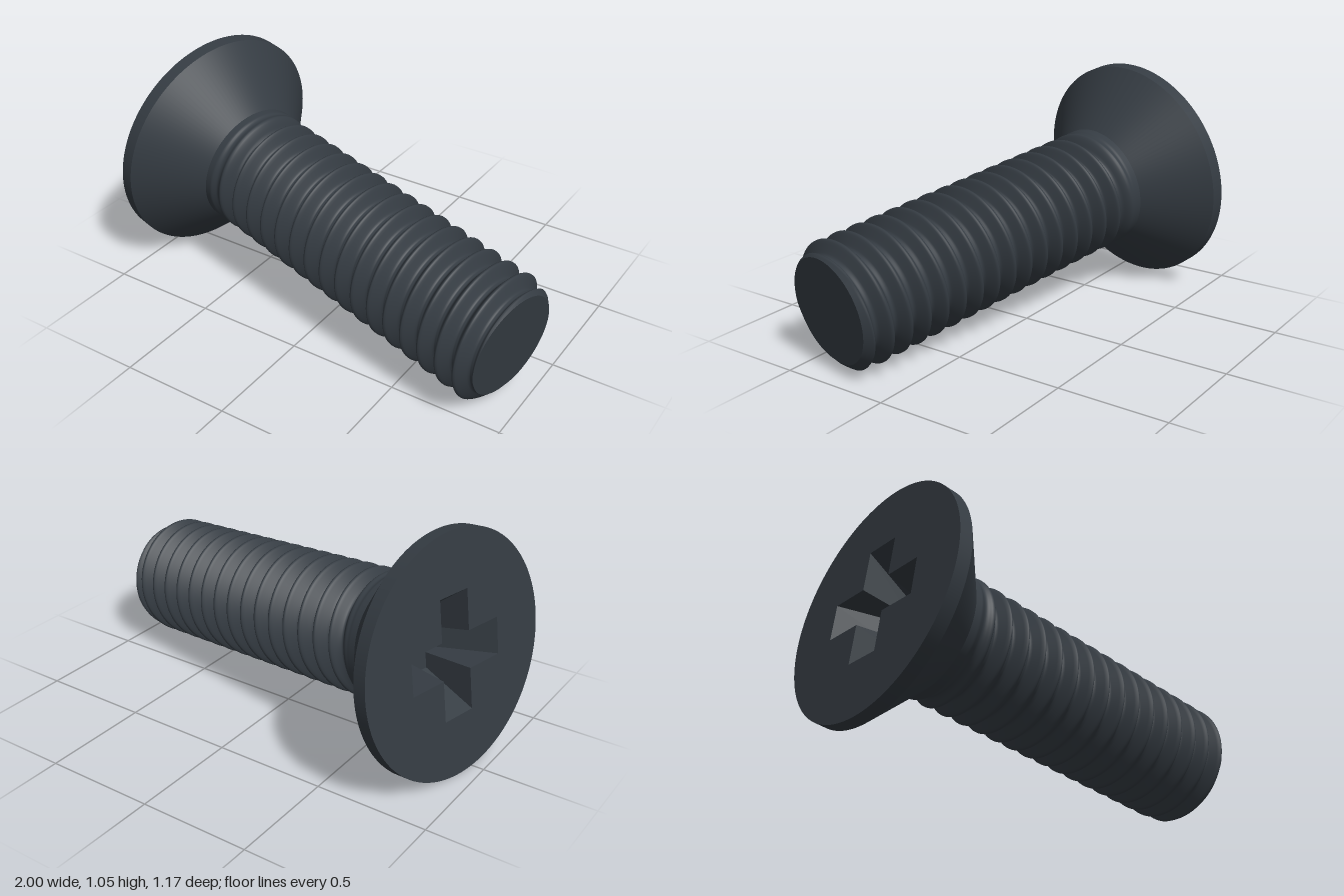
import * as THREE from 'three';

const LENGTH = 1.868, PITCH = 0.0942, CREST = 0.463; // along the screw axis
const R_HEAD = 0.528, R_THREAD = 0.283, R_TIP = 0.235, DEPTH = 0.055;
const NECK = 0.29, RIM = 0.06, SEGS = 80;

const clamp01 = (v) => Math.min(1, Math.max(0, v));

// Radius of the threaded shank at axial position t and angle a
function shankRadius(t, a) {
  let u = (t - CREST) / PITCH - a / (2 * Math.PI);
  u = Math.abs(u - Math.round(u)); // 0 at the crest, 0.5 at the root
  const cut = clamp01((u - 0.06) / 0.34) * DEPTH * clamp01((t - 0.33) / 0.09);
  return Math.min(R_THREAD - cut, R_TIP + (LENGTH - t) * 1.0);
}

function makeGeometry(positions, index) {
  const g = new THREE.BufferGeometry();
  g.setAttribute('position', new THREE.Float32BufferAttribute(positions, 3));
  g.setIndex(index);
  return g;
}

// Shank surface whose rows follow the helix; the seam joins row i to row i + N
function threadGeometry() {
  const N = 16, first = -N - 1;
  const rows = Math.ceil((LENGTH - NECK) / PITCH * N) + N + 3;
  const pos = [], index = [];
  for (let i = 0; i <= rows + N; i++) {
    for (let j = 0; j < SEGS; j++) {
      const a = (j / SEGS) * 2 * Math.PI;
      const raw = NECK + ((i + first) / N + j / SEGS) * PITCH;
      const t = Math.min(LENGTH, Math.max(NECK, raw));
      const r = shankRadius(t, a);
      pos.push(t, r * Math.cos(a), r * Math.sin(a));
    }
  }
  const id = (i, j) => (j === SEGS ? (i + N) * SEGS : i * SEGS + j);
  for (let i = 0; i < rows; i++) {
    for (let j = 0; j < SEGS; j++) {
      const a = id(i, j), b = id(i, j + 1), c = id(i + 1, j), d = id(i + 1, j + 1);
      index.push(a, b, c, b, d, c);
    }
  }
  const g = makeGeometry(pos, index);
  g.computeVertexNormals();
  return g;
}

// Flat end that follows the outline of the thread run-out
function tipGeometry() {
  const pos = [LENGTH, 0, 0], index = [];
  for (let j = 0; j < SEGS; j++) {
    const a = (j / SEGS) * 2 * Math.PI, r = shankRadius(LENGTH, a);
    pos.push(LENGTH, r * Math.cos(a), r * Math.sin(a));
    index.push(0, 1 + j, 1 + ((j + 1) % SEGS));
  }
  const g = makeGeometry(pos, index);
  g.computeVertexNormals();
  return g;
}

// Twelve-cornered cross outline, as [y, z] pairs turning from y to z
function crossOutline(arm, half) {
  const pts = [];
  for (let k = 0; k < 4; k++) {
    const c = Math.round(Math.cos(k * Math.PI / 2)), s = Math.round(Math.sin(k * Math.PI / 2));
    for (const [y, z] of [[arm, -half], [arm, half], [half, half]]) {
      pts.push([y * c - z * s, y * s + z * c]);
    }
  }
  return pts;
}

// Tapered cross socket: inward facing walls and a floor
function recessGeometry(top, bottom, depth) {
  const pos = [], index = [], n = top.length;
  top.forEach(([y, z]) => pos.push(0, y, z));
  bottom.forEach(([y, z]) => pos.push(depth, y, z));
  pos.push(depth, 0, 0);
  for (let j = 0; j < n; j++) {
    const k = (j + 1) % n;
    index.push(j, n + j, k, k, n + j, n + k);
    index.push(2 * n, n + k, n + j);
  }
  const g = makeGeometry(pos, index).toNonIndexed();
  g.computeVertexNormals();
  return g;
}

// Open cone section along the axis
function coneGeometry(r0, r1, t0, t1) {
  const g = new THREE.CylinderGeometry(r1, r0, t1 - t0, 128, 1, true);
  g.rotateZ(-Math.PI / 2);
  g.translate((t0 + t1) / 2, 0, 0);
  return g;
}

export function createModel() {
  const steel = new THREE.MeshStandardMaterial({ color: 0x353c43 });
  steel.name = 'dark steel';

  const screw = new THREE.Group();
  screw.name = 'screw';
  const add = (name, geometry) => {
    const mesh = new THREE.Mesh(geometry, steel);
    mesh.name = name;
    screw.add(mesh);
  };

  // Head
  add('headRim', coneGeometry(R_HEAD, R_HEAD, 0, RIM));
  add('headCone', coneGeometry(R_HEAD, R_THREAD, RIM, NECK + 0.005));

  const top = crossOutline(0.265, 0.083);
  const face = new THREE.Shape();
  face.absarc(0, 0, R_HEAD, 0, Math.PI * 2);
  face.holes.push(new THREE.Path(top.map(([y, z]) => new THREE.Vector2(z, y))));
  const faceGeometry = new THREE.ShapeGeometry(face, 64);
  faceGeometry.rotateY(-Math.PI / 2);
  add('headFace', faceGeometry);
  add('crossRecess', recessGeometry(top, crossOutline(0.13, 0.06), 0.22));

  // Shank
  add('threadedShank', threadGeometry());
  add('tipFace', tipGeometry());

  // Lay the screw along its tilted axis
  const axis = new THREE.Vector3(1, -0.135, 0.213).normalize();
  const up = new THREE.Vector3(0, 1, 0).addScaledVector(axis, -axis.y).normalize();
  const side = new THREE.Vector3().crossVectors(axis, up);
  screw.quaternion.setFromRotationMatrix(new THREE.Matrix4().makeBasis(axis, up, side));
  screw.position.set(-0.87, 0.528, -0.067);

  const model = new THREE.Group();
  model.name = 'countersunkScrew';
  model.add(screw);
  return model;
}
